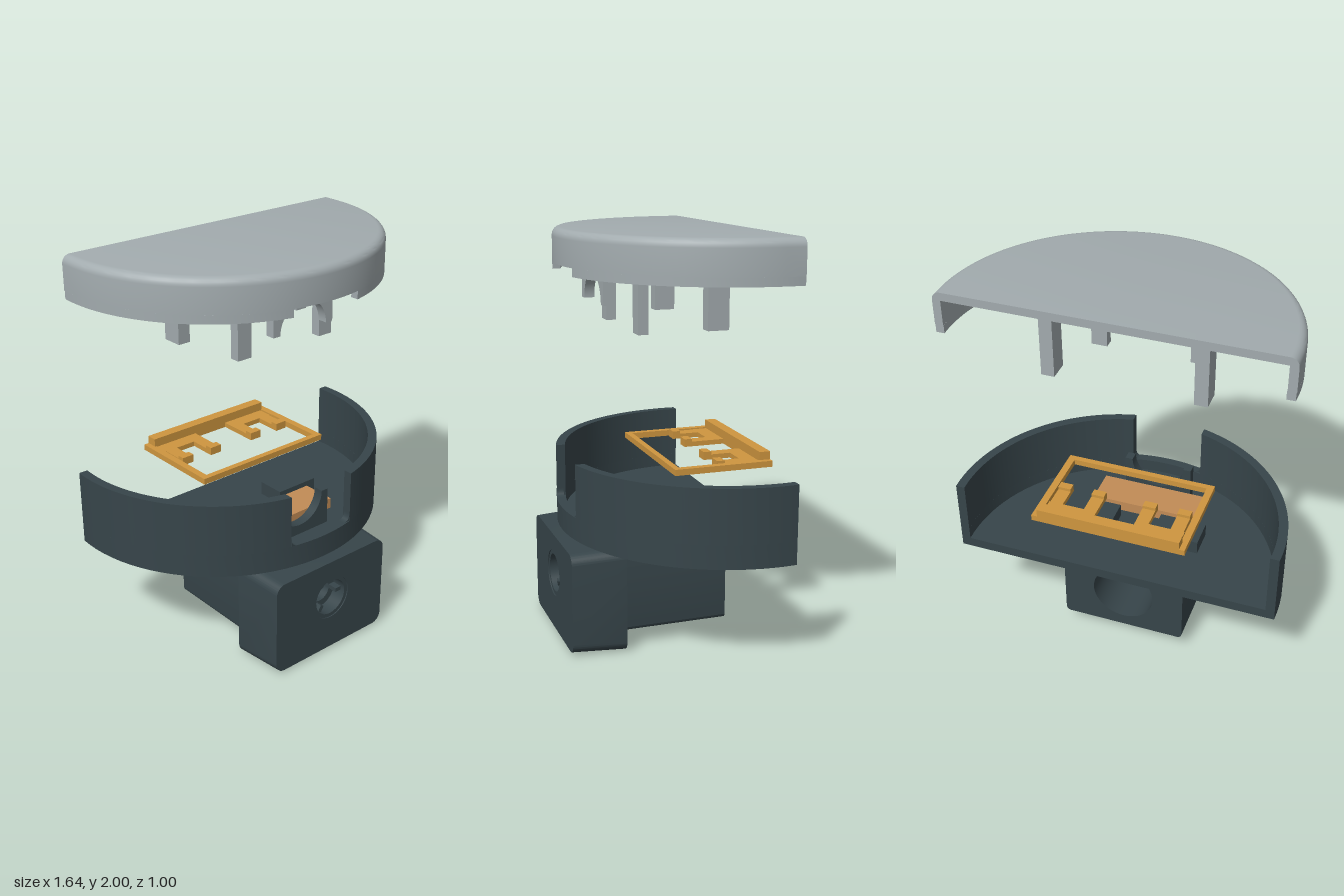
import * as THREE from 'three';
import { toCreasedNormals } from 'three/addons/utils/BufferGeometryUtils.js';

const paint = (name, color) => Object.assign(new THREE.MeshStandardMaterial({ color }), { name });
const CZ = -0.37, BACK = -0.43, R = 0.82; // arc centre, flat back, outer radius

export function createModel() {
  const root = new THREE.Group();
  root.name = 'explodedHousing';
  const grey = paint('lidGrey', 0xa2abae);
  const dark = paint('housingDark', 0x37454a);
  const gold = paint('frameGold', 0xcf963f);
  const copper = paint('barCopper', 0xc28c56);
  const collarDark = dark;

  const group = (name) => {
    const g = new THREE.Group();
    g.name = name;
    root.add(g);
    return g;
  };
  const add = (parent, name, geo, mat) => {
    const m = new THREE.Mesh(geo, mat);
    m.name = name;
    parent.add(m);
    return m;
  };
  // box given by its limits on each axis
  const box = (parent, name, mat, [x0, x1], [y0, y1], [z0, z1]) => {
    const m = add(parent, name, new THREE.BoxGeometry(x1 - x0, y1 - y0, z1 - z0), mat);
    m.position.set((x0 + x1) / 2, (y0 + y1) / 2, (z0 + z1) / 2);
    return m;
  };
  // plan outline (x, z) raised from y0 to y1
  const slab = (shape, y0, y1) => {
    const g = new THREE.ExtrudeGeometry(shape, { depth: y1 - y0, bevelEnabled: false });
    g.rotateX(Math.PI / 2).translate(0, y1, 0);
    return toCreasedNormals(g, 0.5);
  };
  // front outline (x, y) extruded from z0 to z1
  const panel = (shape, z0, z1) => {
    const g = new THREE.ExtrudeGeometry(shape, { depth: z1 - z0, bevelEnabled: false, curveSegments: 24 });
    return g.translate(0, 0, z0);
  };
  const arcPoints = (r, t0, t1) => Array.from({ length: 49 }, (_, i) => {
    const t = t0 + (t1 - t0) * i / 48;
    return new THREE.Vector2(r * Math.cos(t), CZ + r * Math.sin(t));
  });
  const startAngle = (r) => Math.asin((BACK - CZ) / r);
  // curved wall between two x limits (null = run to the flat back)
  const wall = (r, xRight, xLeft) => {
    const arc = (q) => arcPoints(q,
      xRight === null ? startAngle(q) : Math.acos(xRight / q),
      xLeft === null ? Math.PI - startAngle(q) : Math.acos(xLeft / q));
    return new THREE.Shape([...arc(R), ...arc(r).reverse()]);
  };
  const roundRect = (x, y0, y1, r) => {
    const s = new THREE.Shape();
    s.absarc(x - r, y0 + r, r, -Math.PI / 2, 0);
    s.absarc(x - r, y1 - r, r, 0, Math.PI / 2);
    s.absarc(-x + r, y1 - r, r, Math.PI / 2, Math.PI);
    s.absarc(-x + r, y0 + r, r, Math.PI, Math.PI * 1.5);
    s.closePath();
    return s;
  };
  const hole = (shape, r) => {
    const p = new THREE.Path();
    p.absarc(0, 0.31, r, 0, Math.PI * 2, true);
    shape.holes.push(p);
    return shape;
  };

  // Lid: half dome with rounded rim, hollow below and open at the back
  const lid = group('lid');
  const rim = Array.from({ length: 7 }, (_, i) => {
    const t = i / 6 * Math.PI / 2;
    return [0.78 + 0.04 * Math.cos(t), 1.96 + 0.04 * Math.sin(t)];
  });
  const profile = [[0, 1.96], [0.78, 1.96], [0.78, 1.835], [0.82, 1.835], ...rim, [0, 2]]
    .map(([x, y]) => new THREE.Vector2(x, y));
  const dome = new THREE.LatheGeometry(profile, 72, -Math.PI / 2, Math.PI);
  const dp = dome.attributes.position;
  for (let i = 0; i < dp.count; i++) {
    dp.setZ(i, Math.abs(dp.getZ(i)) < 1e-5 ? BACK : dp.getZ(i) + CZ);
  }
  add(lid, 'lidDome', toCreasedNormals(dome, 0.5), grey);
  const section = new THREE.Shape([
    ...profile.slice(1, -1),
    ...profile.slice(1, -1).reverse().map((p) => new THREE.Vector2(-p.x, p.y))]);
  const end = add(lid, 'lidBackEdge', new THREE.ShapeGeometry(section), grey);
  end.rotation.y = Math.PI;
  end.position.z = BACK;
  add(lid, 'lidWallLeft', slab(wall(0.78, null, 0.18), 1.795, 1.835), grey);
  add(lid, 'lidWallRight', slab(wall(0.78, -0.2, null), 1.795, 1.835), grey);
  for (const s of [-1, 1]) {
    const span = (a, b) => [Math.min(s * a, s * b), Math.max(s * a, s * b)];
    box(lid, 'frontPost', grey, span(0.21, 0.29), [1.53, 1.965], [0.1, 0.15]);
    box(lid, 'rearPost', grey, span(0.335, 0.4), [1.55, 1.965], [-0.255, -0.15]);
  }
  // Cable clamp halves: block with a semicircular bite
  const clamp = (flat, open, cy) => {
    const s = new THREE.Shape();
    s.moveTo(-0.19, flat);
    s.lineTo(-0.19, open);
    s.lineTo(-0.15, open);
    s.absarc(-0.01, cy, 0.14, Math.PI, flat > open ? 0 : Math.PI * 2, flat > open);
    s.lineTo(0.17, open);
    s.lineTo(0.17, flat);
    s.closePath();
    return toCreasedNormals(panel(s, 0.23, 0.28), 0.5);
  };
  add(lid, 'upperCableClamp', clamp(1.965, 1.655, 1.655), grey);

  // Base tray: floor, curved wall and cable notch
  const base = group('base');
  add(base, 'baseFloor', slab(new THREE.Shape(arcPoints(0.8, startAngle(0.8), Math.PI - startAngle(0.8))), 0.53, 0.58), dark);
  add(base, 'baseLowerWall', slab(wall(0.775, null, null), 0.53, 0.645), dark);
  add(base, 'baseWallLeft', slab(wall(0.775, null, 0.18), 0.645, 0.91), dark);
  add(base, 'baseWallRight', slab(wall(0.775, -0.2, null), 0.645, 0.91), dark);
  add(base, 'lowerCableClamp', clamp(0.575, 0.77, 0.77), dark);
  // notch corner fillets
  for (const [x, s] of [[-0.2, 1], [0.18, -1]]) {
    const f = new THREE.Shape();
    f.moveTo(x, 0.645);
    f.lineTo(x + s * 0.035, 0.645);
    f.quadraticCurveTo(x, 0.645, x, 0.685);
    f.closePath();
    add(base, 'notchFillet', panel(f, 0.39, 0.428), dark);
  }
  box(base, 'terminalBlockLeft', dark, [0.11, 0.35], [0.575, 0.65], [-0.16, -0.01]);
  box(base, 'terminalBlockRight', dark, [-0.35, -0.11], [0.575, 0.65], [-0.16, -0.01]);

  // Copper bar with a strip reaching down into the socket
  const bar = group('contactBar');
  box(bar, 'crossBar', copper, [-0.3, 0.27], [0.59, 0.645], [0.02, 0.2]);
  box(bar, 'contactStrip', copper, [-0.04, 0.04], [0.17, 0.6], [0.08, 0.11]);

  // Socket housing below the tray
  const socket = group('socket');
  add(socket, 'rearBlock', toCreasedNormals(panel(hole(roundRect(0.32, 0.09, 0.54, 0.025), 0.16), -0.29, 0.24), 0.5), dark);
  const face = panel(hole(roundRect(0.372, 0.005, 0.527, 0.055), 0.115), 0.235, 0.5);
  const fp = face.attributes.position;
  for (let i = 0; i < fp.count; i++) {
    const x = fp.getX(i), y = fp.getY(i);
    if (fp.getZ(i) > 0.4 && Math.hypot(x, y - 0.31) > 0.13) { // taper towards the front
      fp.setX(i, x * 0.955);
      fp.setY(i, 0.27 + (y - 0.27) * 0.95);
    }
  }
  add(socket, 'frontBlock', toCreasedNormals(face, 0.5), dark);
  // stepped collar in the front hole, with three ribs
  const steps = [[0.06, 0.24], [0.06, 0.42], [0.095, 0.42], [0.095, 0.495], [0.115, 0.495], [0.115, 0.24], [0.06, 0.24]];
  const collar = new THREE.LatheGeometry(steps.map(([r, z]) => new THREE.Vector2(r, z)).reverse(), 40);
  const ring = add(socket, 'collar', toCreasedNormals(collar, 0.5), collarDark);
  ring.rotation.x = Math.PI / 2;
  ring.position.y = 0.31;
  for (const a of [0, 1, 2]) {
    const spoke = new THREE.BoxGeometry(0.04, 0.022, 0.05).translate(0.08, 0, 0);
    const rib = add(socket, 'collarRib', spoke, collarDark);
    rib.rotation.z = a * Math.PI * 2 / 3;
    rib.position.set(0, 0.31, 0.445);
  }

  // Gold frame with pairs of contact fingers
  const frame = group('contactFrame');
  box(frame, 'rearRail', gold, [-0.385, 0.385], [0.87, 0.9], [-0.5, -0.445]);
  box(frame, 'rearRidge', gold, [-0.358, 0.355], [0.9, 0.94], [-0.5, -0.445]);
  box(frame, 'frontRail', gold, [-0.385, 0.385], [0.87, 0.9], [-0.03, 0]);
  for (const s of [-1, 1]) {
    const span = (a, b) => [Math.min(s * a, s * b), Math.max(s * a, s * b)];
    box(frame, 'sideRail', gold, span(0.35, 0.385), [0.87, 0.9], [-0.445, -0.03]);
    box(frame, 'fingerPad', gold, span(0.1, 0.345), [0.87, 0.895], [-0.445, -0.37]);
    for (const x of [0.1, 0.275]) {
      box(frame, 'finger', gold, span(x, x + 0.065), [0.87, 0.895], [-0.37, -0.23]);
      box(frame, 'fingerTip', gold, span(x, x + 0.065), [0.895, 0.91], [-0.27, -0.23]);
    }
  }
  return root;
}
